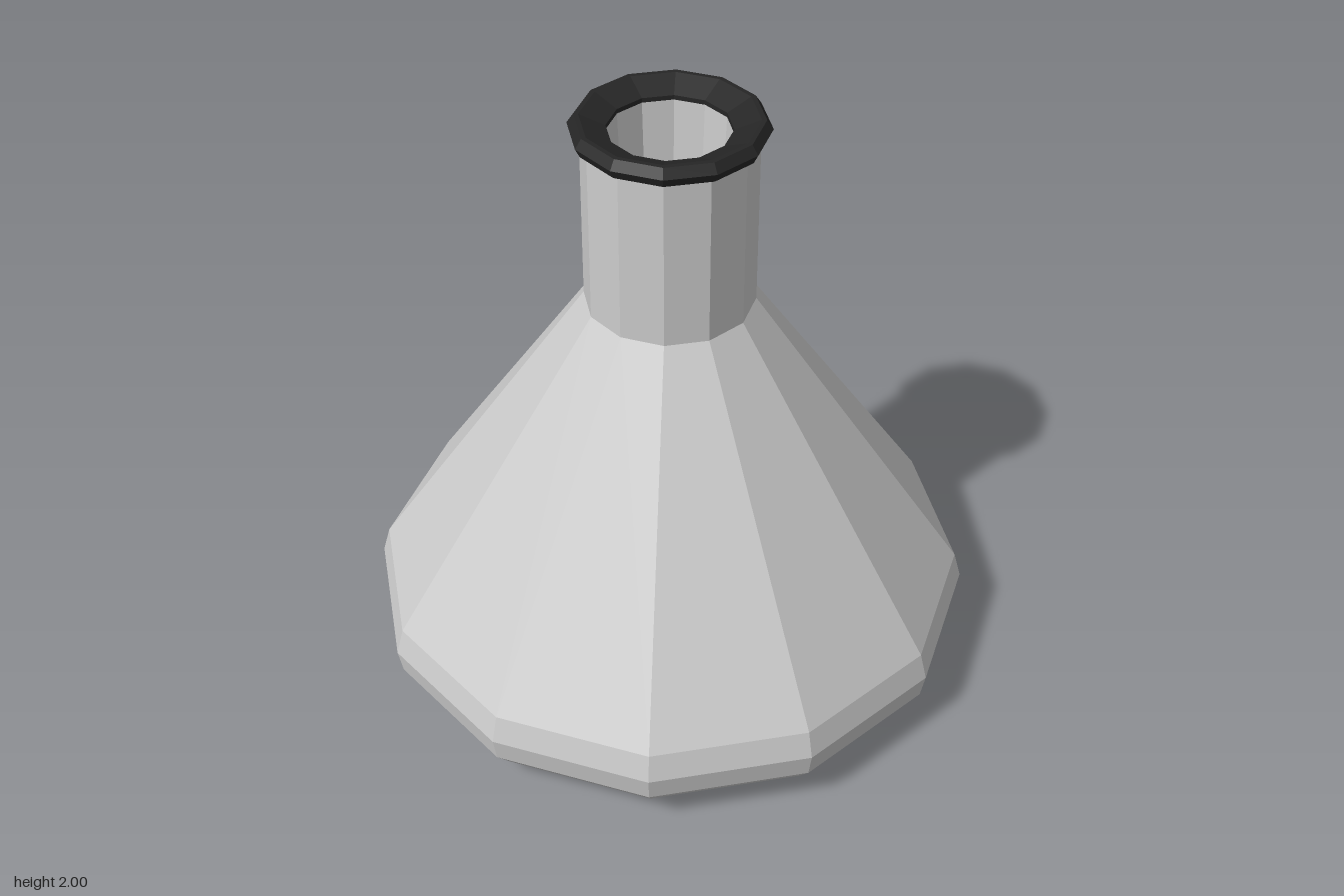
import * as THREE from 'three';

const SIDES = 12;

// Faceted solid of revolution; the profile runs up the outside, then down the inside
function turned(name, profile, color) {
  const points = profile.map(([r, y]) => new THREE.Vector2(r, y));
  const material = new THREE.MeshStandardMaterial({ color, flatShading: true });
  const mesh = new THREE.Mesh(new THREE.LatheGeometry(points, SIDES), material);
  mesh.name = name;
  return mesh;
}

export function createModel() {
  const group = new THREE.Group();
  group.name = 'conicalFlask';

  // Hollow vessel: rounded base, conical body, straight neck, then the inner wall
  group.add(turned('flaskBody', [
    [0, 0], [0.82, 0], [0.93, 0.08], [0.985, 0.15], [1, 0.235], [0.975, 0.325],
    [0.27, 1.365], [0.27, 1.95],
    [0.19, 1.95], [0.165, 1.4], [0.87, 0.31], [0.89, 0.235], [0.85, 0.15], [0.77, 0.09], [0, 0.09],
  ], 0xcccccc));

  // Dark lip around the mouth, its top dished towards the opening
  group.add(turned('mouthRim', [
    [0.26, 1.94], [0.29, 1.94], [0.305, 1.97], [0.285, 2], [0.27, 2], [0.19, 1.965], [0.19, 1.945],
  ], 0x262626));

  return group;
}
